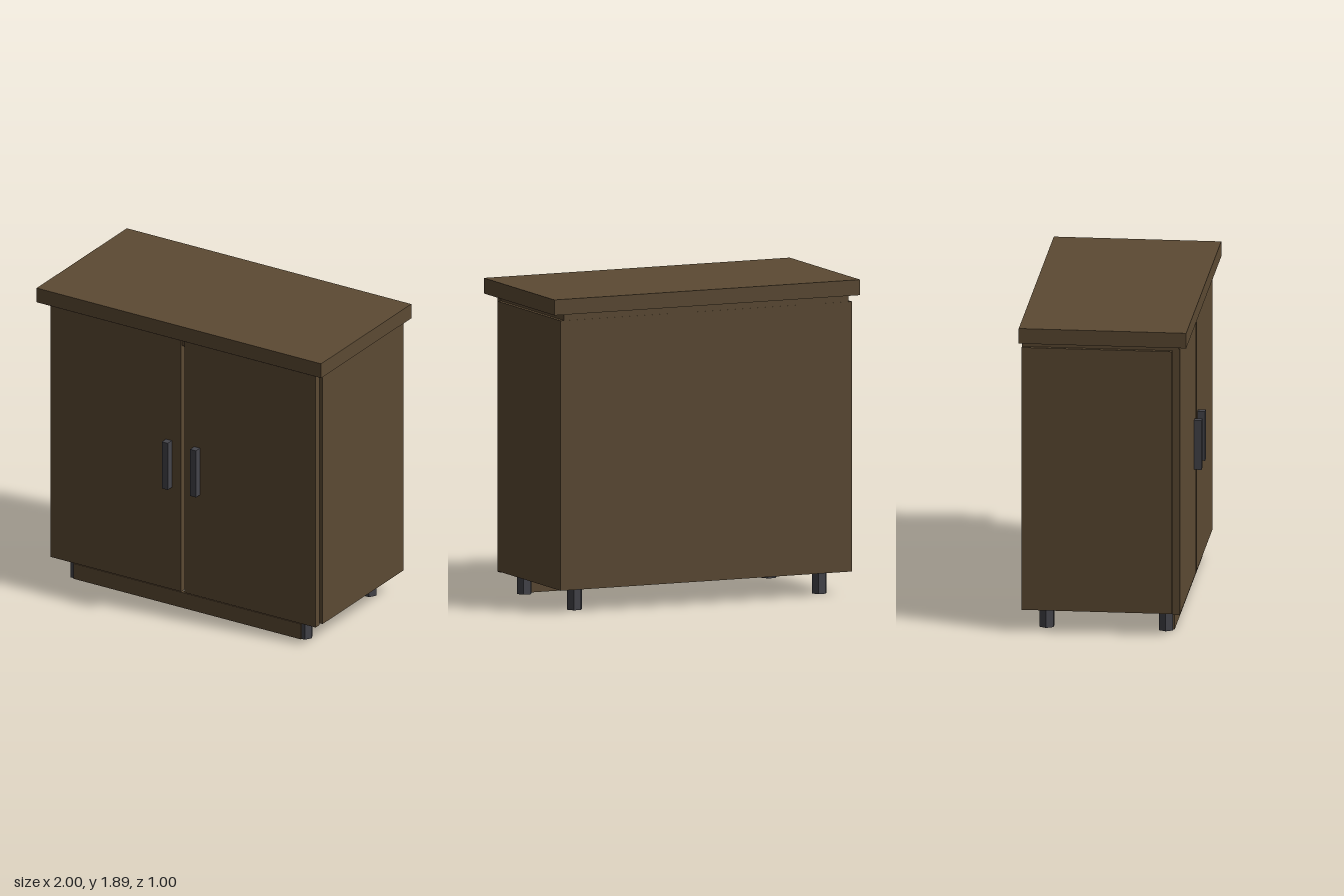
import * as THREE from 'three';

export function createModel() {
  const group = new THREE.Group();
  group.name = 'cabinet';
  const wood = new THREE.MeshStandardMaterial({ color: 0x5c4a33 });
  wood.name = 'brown wood';
  const metal = new THREE.MeshStandardMaterial({ color: 0x45454b });
  metal.name = 'dark metal';

  // Box given by its limits on each axis
  const box = (name, material, [x0, x1], [y0, y1], [z0, z1]) => {
    const mesh = new THREE.Mesh(new THREE.BoxGeometry(x1 - x0, y1 - y0, z1 - z0), material);
    mesh.position.set((x0 + x1) / 2, (y0 + y1) / 2, (z0 + z1) / 2);
    mesh.name = name;
    group.add(mesh);
  };

  // Carcass, upper rail, worktop and plinth
  box('body', wood, [-0.953, 0.953], [0.138, 1.758], [-0.488, 0.41]);
  box('upperRail', wood, [-0.93, 0.93], [1.735, 1.795], [-0.487, 0.447]);
  box('worktop', wood, [-1, 1], [1.795, 1.888], [-0.5, 0.5]);
  box('plinth', wood, [-0.8, 0.8], [0, 0.1], [0.385, 0.41]);

  // Hexagonal legs with a flat side facing front
  const legGeometry = new THREE.CylinderGeometry(0.048, 0.048, 0.14, 6).rotateY(Math.PI / 6).toNonIndexed();
  legGeometry.computeVertexNormals();

  for (const [side, s] of [['left', 1], ['right', -1]]) {
    const span = (a, b) => (s > 0 ? [a, b] : [-b, -a]);
    box(side + 'Door', wood, span(0.0125, 0.933), [0.128, 1.77], [0.41, 0.455]);
    box(side + 'Handle', metal, span(0.078, 0.12), [0.795, 1.1], [0.455, 0.5]);
    for (const [end, z] of [['Front', 0.36], ['Back', -0.352]]) {
      const leg = new THREE.Mesh(legGeometry, metal);
      leg.position.set(s * 0.8, 0.07, z);
      leg.name = side + end + 'Leg';
      group.add(leg);
    }
  }
  return group;
}
